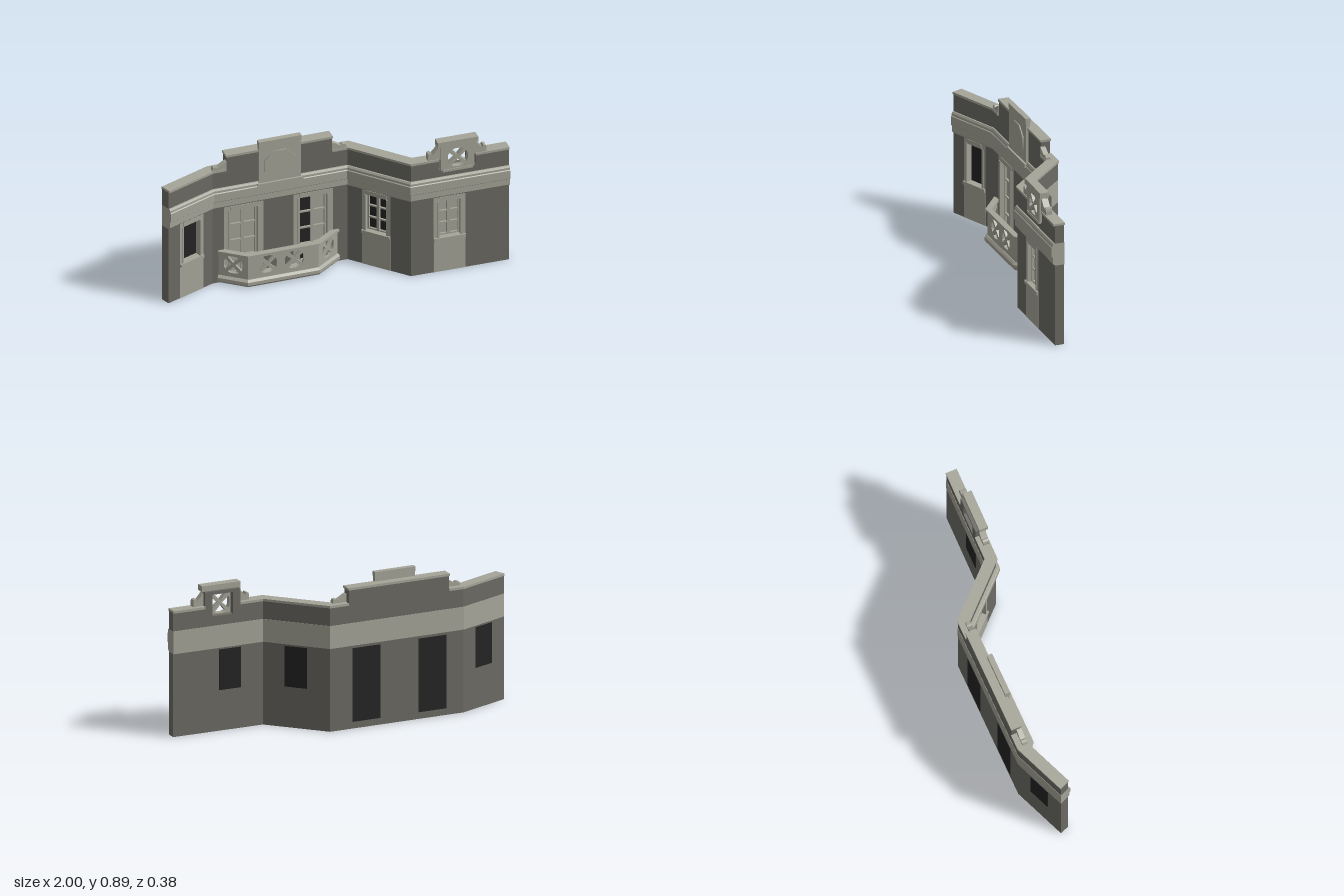
import * as THREE from 'three';

const mat = (name, color) => Object.assign(new THREE.MeshStandardMaterial({ color }), { name });
const stone = mat('light stone', 0xa6a599);
const wall = mat('dark render', 0x6b6a63);
const glass = mat('dark glass', 0x242424);

// Front wall line in plan (x, z), left to right
const P = [[-0.975, -0.012], [-0.67, -0.133], [0.137, -0.133], [0.415, 0.16], [1, 0.168]];
const T = 0.055;

const pt = (s, x) => {
  const [a, b] = [P[s], P[s + 1]], t = (x - a[0]) / (b[0] - a[0]);
  return [x, a[1] + t * (b[1] - a[1])];
};
const angle = (a, b) => Math.atan2(b[1] - a[1], b[0] - a[0]);

function add(parent, name, geo, material, x = 0, y = 0, z = 0) {
  const m = new THREE.Mesh(geo, material);
  m.name = name;
  m.position.set(x, y, z);
  parent.add(m);
  return m;
}

// Box given by its extents
const block = (parent, name, m, x0, x1, y0, y1, z0, z1) =>
  add(parent, name, new THREE.BoxGeometry(x1 - x0, y1 - y0, z1 - z0), m, (x0 + x1) / 2, (y0 + y1) / 2, (z0 + z1) / 2);

// Group whose x axis runs along a plan line and whose z axis faces outwards
function frame(parent, name, origin, ang) {
  const g = new THREE.Group();
  g.name = name;
  g.position.set(origin[0], 0, origin[1]);
  g.rotation.y = -ang;
  parent.add(g);
  return g;
}

// Mitred sweep of a counter-clockwise profile [outward, y] along a plan path
function sweep(path, profile) {
  const last = path.length - 1;
  const rings = path.map((p, i) => {
    const a0 = angle(path[Math.max(i - 1, 0)], path[Math.max(i, 1)]);
    const a1 = angle(path[Math.min(i, last - 1)], path[Math.min(i + 1, last)]);
    const mid = (a0 + a1) / 2, k = 1 / Math.cos((a1 - a0) / 2);
    return profile.map(([o, y]) => [p[0] - Math.sin(mid) * k * o, y, p[1] + Math.cos(mid) * k * o]);
  });
  const v = [], n = profile.length;
  for (let i = 0; i < last; i++) for (let j = 0; j < n; j++) {
    const q = (j + 1) % n, a = rings[i][j], b = rings[i][q], c = rings[i + 1][j], d = rings[i + 1][q];
    v.push(...a, ...c, ...d, ...a, ...d, ...b);
  }
  const tris = THREE.ShapeUtils.triangulateShape(profile.map(p => new THREE.Vector2(...p)), []);
  for (const [a, b, c] of tris) {
    v.push(...rings[0][a], ...rings[0][b], ...rings[0][c]);
    v.push(...rings[last][a], ...rings[last][c], ...rings[last][b]);
  }
  const g = new THREE.BufferGeometry();
  g.setAttribute('position', new THREE.Float32BufferAttribute(v, 3));
  g.computeVertexNormals();
  return g;
}
const rect = (o0, o1, y0, y1) => [[o0, y0], [o1, y0], [o1, y1], [o0, y1]];

const poly = pts => pts.map(p => new THREE.Vector2(...p));
function extrude(pts, holes, depth) {
  const s = new THREE.Shape(poly(pts));
  s.holes = holes.map(h => new THREE.Path(poly(h)));
  return new THREE.ExtrudeGeometry(s, { depth, bevelEnabled: false, curveSegments: 6 });
}

// Four openings around a diagonal cross
const crossHoles = (cx, cy, r, bar) => [0, 1, 2, 3].map(k => {
  const c = k * Math.PI / 2;
  return [[bar * 1.4, 0], [r, -0.6], [r, -0.3], [r, 0.3], [r, 0.6]]
    .map(([d, a]) => [cx + d * Math.cos(c + a), cy + d * Math.sin(c + a)]);
});

// Concave bracket rising towards +x, or mirrored
function scroll(parent, x, y, w, h, z0, depth, dir) {
  const pts = [[0, 0], [w, 0], [w, h]];
  for (let i = 0; i <= 5; i++) {
    const a = i / 5 * Math.PI / 2;
    pts.push([w * 0.9 - w * 0.55 * Math.sin(a), h * 0.4 + h * 0.55 * (1 - Math.sin(a)) * Math.cos(a * 0.5)]);
  }
  pts.push([w * 0.25, h * 0.55], [0.05 * w, h * 0.5], [0, h * 0.3]);
  const shape = pts.map(([px, py]) => [dir > 0 ? x + px : x - px, y + py]);
  add(parent, 'scroll', extrude(shape, [], depth), stone, 0, 0, z0);
}

// Leaf with a grid of panes
function leaf(g, x0, x1, y0, y1, rows, pane) {
  const b = 0.009;
  block(g, 'panes', pane, x0, x1, y0, y1, -0.039, -0.034);
  for (const x of [x0, x1 - b]) block(g, 'stile', stone, x, x + b, y0, y1, -0.036, -0.02);
  for (let i = 0; i <= rows; i++) {
    const y = y0 + (y1 - y0 - b) * i / rows;
    block(g, 'glazing bar', stone, x0, x1, y, y + b, -0.036, -0.022);
  }
}

// Window or door bay: [segment, x, width, opening half width, opening bottom, left pane, right pane]
const BAYS = [
  [0, -0.815, 0.174, 0.06, 0.225, null, null],
  [1, -0.483, 0.235, 0.082, 0.03, stone, stone],
  [1, -0.067, 0.235, 0.082, 0.03, glass, stone],
  [2, 0.2625, 0.18, 0.065, 0.225, glass, glass],
  [3, 0.645, 0.19, 0.063, 0.225, stone, stone],
];

function buildBay(root, [s, x, w, o, y0, left, right]) {
  const g = frame(root, 'bay', pt(s, x), angle(P[s], P[s + 1]));
  const h = w / 2, door = y0 < 0.1, top = 0.462;
  block(g, 'base panel', stone, -h, h, 0, y0, -0.04, 0.002);
  for (const d of [-1, 1]) {
    block(g, 'surround', stone, Math.min(d * o, d * h), Math.max(d * o, d * h), y0, 0.49, -0.04, 0);
    const a = d * o, b = d * (o + 0.012);
    block(g, 'architrave', stone, Math.min(a, b), Math.max(a, b), y0, top, -0.01, 0.005);
  }
  block(g, 'lintel', stone, -o, o, top, 0.49, -0.04, 0.003);
  if (!door) block(g, 'sill', stone, -h, h, 0.205, 0.225, -0.03, 0.012);
  if (left) {
    leaf(g, -o, 0, y0, top, door ? 4 : 3, left);
    leaf(g, 0, o, y0, top, door ? 4 : 3, right);
  } else block(g, 'glass', glass, -o, o, y0, top, -0.039, -0.034);
  const bw = door ? 0.0875 : 0.068;
  block(g, 'rear glass', glass, -bw, bw, door ? 0.04 : 0.24, door ? 0.475 : 0.48, -T - 0.003, -T + 0.002);
}

function buildWalls(root) {
  add(root, 'rear wall', sweep(P, rect(-T, -0.04, 0, 0.49)), wall);
  // Piers between the bays
  let path = [P[0]], seg = 0;
  for (const [s, x, w] of BAYS) {
    const hw = w / 2 * Math.cos(angle(P[s], P[s + 1]));
    while (seg < s) path.push(P[++seg]);
    path.push(pt(s, x - hw));
    add(root, 'pier', sweep(path, rect(-0.04, 0, 0, 0.49)), wall);
    path = [pt(s, x + hw)];
  }
  add(root, 'pier', sweep([...path, P[4]], rect(-0.04, 0, 0, 0.49)), wall);
  // Moulded band
  add(root, 'band', sweep(P, [[-T - 0.002, 0.49], [0, 0.49], [0.013, 0.503], [0.013, 0.54], [0.02, 0.546],
    [0.02, 0.598], [0.015, 0.602], [0.015, 0.615], [0.008, 0.625], [-T - 0.002, 0.625]]), stone);
  // Upper wall and coping
  for (const p of [[P[0], P[1], P[2], P[3], pt(3, 0.58)], [pt(3, 0.8), P[4]]])
    add(root, 'upper wall', sweep(p, rect(-T, 0, 0.625, 0.733)), wall);
  for (const p of [[P[0], P[1], pt(1, -0.59)], [pt(1, 0.045), P[2], P[3], pt(3, 0.58)], [pt(3, 0.8), P[4]]])
    add(root, 'coping', sweep(p, rect(-T - 0.005, 0.008, 0.731, 0.745)), stone);
}

function buildCentralParapet(root) {
  const g = frame(root, 'central parapet', [-0.272, P[1][1]], 0);
  block(g, 'parapet', wall, -0.315, 0.315, 0.73, 0.82, -T, 0);
  block(g, 'parapet coping', stone, -0.32, 0.32, 0.82, 0.834, -T - 0.004, 0.006);
  block(g, 'tablet', stone, -0.126, 0.126, 0.615, 0.865, -0.008, 0.016);
  block(g, 'tablet cap', stone, -0.128, 0.128, 0.862, 0.89, -0.012, 0.02);
  block(g, 'tablet sill', stone, -0.135, 0.135, 0.592, 0.618, 0, 0.028);
  const disc = add(g, 'octagon', new THREE.CylinderGeometry(0.1, 0.1, 0.01, 8, 1, false, Math.PI / 8).toNonIndexed(), stone, 0, 0.725, 0.018);
  disc.rotation.x = Math.PI / 2;
  for (const d of [-1, 1]) scroll(g, d * 0.4, 0.742, 0.085, 0.05, -0.025, 0.03, -d);
}

function buildPediment(root) {
  const g = frame(root, 'side pediment', pt(3, 0.69), angle(P[3], P[4]));
  const r = 0.064;
  const back = extrude([[-0.11, 0.625], [0.11, 0.625], [0.11, 0.828], [-0.11, 0.828]],
    [[[-r, 0.745 - r], [r, 0.745 - r], [r, 0.745 + r], [-r, 0.745 + r]]], 0.033);
  add(g, 'pediment wall', back, wall, 0, 0, -T);
  block(g, 'pediment foot', wall, -0.11, 0.11, 0.625, 0.672, -0.022, 0);
  add(g, 'pierced plate', extrude([[-0.1, 0.67], [0.1, 0.67], [0.1, 0.83], [-0.1, 0.83]],
    crossHoles(0, 0.745, 0.062, 0.008), 0.034), stone, 0, 0, -0.022);
  block(g, 'plate sill', stone, -0.09, 0.09, 0.66, 0.675, 0, 0.016);
  block(g, 'pediment cap', stone, -0.12, 0.12, 0.826, 0.86, -0.036, 0.017);
  for (const d of [-1, 1]) scroll(g, d * 0.175, 0.742, 0.075, 0.085, -0.035, 0.038, -d);
}

function buildBalcony(root) {
  const g = new THREE.Group();
  g.name = 'balcony';
  root.add(g);
  const B = [[-0.635, -0.133], [-0.495, -0.025], [-0.075, -0.025], [0.078, -0.133]];
  const floor = add(g, 'balcony floor', extrude(B.map(([x, z]) => [x, -z]), [], 0.012), stone, 0, 0.025, 0);
  floor.rotation.x = -Math.PI / 2;
  add(g, 'balcony base', sweep(B, [[-0.02, 0.008], [0.008, 0.008], [0.016, 0.02], [0.016, 0.04], [0.004, 0.052], [-0.02, 0.052]]), stone);
  add(g, 'handrail', sweep(B, rect(-0.024, 0.012, 0.198, 0.213)), stone);
  // Pierced parapet panels
  for (let i = 0; i < 3; i++) {
    const a = B[i], b = B[i + 1], L = Math.hypot(b[0] - a[0], b[1] - a[1]);
    const f = frame(g, 'balcony panel', a, angle(a, b));
    const holes = (i === 1 ? [L * 0.28, L * 0.66] : [L / 2]).flatMap(c => crossHoles(c, 0.133, 0.058, 0.009));
    add(f, 'pierced panel', extrude([[0, 0.045], [L, 0.045], [L, 0.2], [0, 0.2]], holes, 0.014), stone, 0, 0, -0.014);
  }
}

export function createModel() {
  const root = new THREE.Group();
  root.name = 'facade';
  buildWalls(root);
  BAYS.forEach(b => buildBay(root, b));
  buildCentralParapet(root);
  buildPediment(root);
  buildBalcony(root);
  return root;
}
